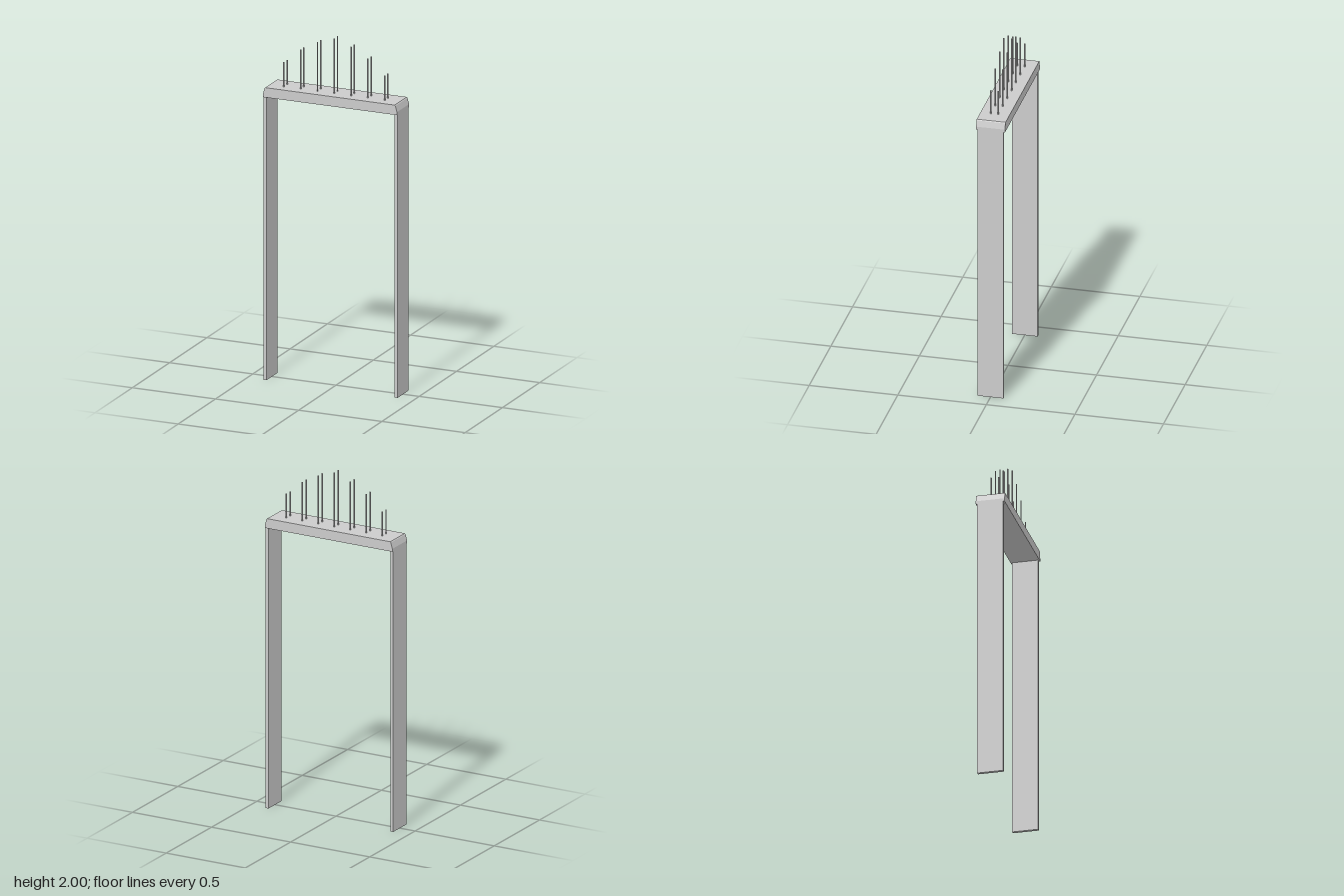
import * as THREE from 'three';

export function createModel() {
  const group = new THREE.Group();
  const material = new THREE.MeshStandardMaterial({ color: 0xcccccc, flatShading: true });
  const rodMaterial = new THREE.MeshStandardMaterial({ color: 0xcccccc });

  const add = (name, geometry, x, y, z, mat = material) => {
    const mesh = new THREE.Mesh(geometry, mat);
    mesh.name = name;
    mesh.position.set(x, y, z);
    group.add(mesh);
  };

  const legTop = 1.628, capTop = 1.684, capDepth = 0.163;

  // Two tall flat legs
  const legGeometry = new THREE.BoxGeometry(0.018, legTop, 0.146);
  add('leftLeg', legGeometry, 0.394, legTop / 2, 0);
  add('rightLeg', legGeometry, -0.394, legTop / 2, 0);

  // Crossbeam with bevelled upper ends
  const half = [[0.403, legTop], [0.403, 1.645], [0.393, 1.679], [0.389, capTop]];
  const outline = [...half, ...half.map(([x, y]) => [-x, y]).reverse()];
  const beamShape = new THREE.Shape(outline.map(([x, y]) => new THREE.Vector2(x, y)));
  const beam = new THREE.ExtrudeGeometry(beamShape, { depth: capDepth, bevelEnabled: false });
  add('crossbeam', beam, 0, 0, -capDepth / 2);

  // Two rows of thin rods, tallest in the middle
  const rodTops = [2, 1.965, 1.91, 1.825];
  const rodBase = capTop - 0.01;
  for (const [row, z] of [['front', 0.023], ['back', -0.02]]) {
    for (let i = -3; i <= 3; i++) {
      const height = rodTops[Math.abs(i)] - rodBase;
      const rod = new THREE.CylinderGeometry(0.004, 0.004, height, 12);
      add(`${row}Rod${i + 4}`, rod, i * 0.101, rodBase + height / 2, z, rodMaterial);
    }
  }

  return group;
}
